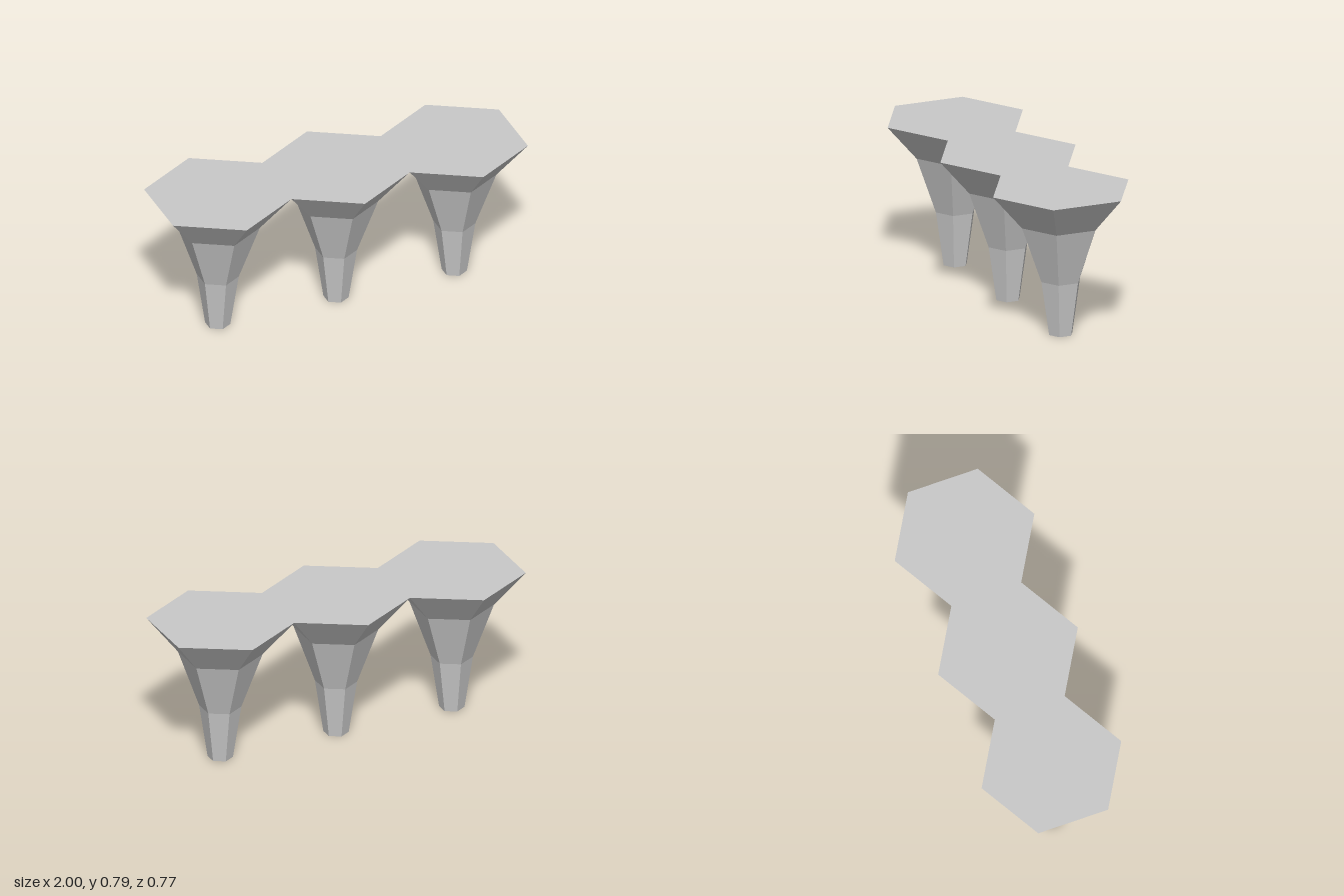
import * as THREE from 'three';

const stone = new THREE.MeshStandardMaterial({ color: 0xc8c8c8 });
stone.name = 'light grey stone';

const SPACING = 2 / 3;                 // columns meet edge to edge at the top
const TOP_RADIUS = SPACING / Math.sqrt(3);

// Flared six-sided column, closed at foot and top, with a corner facing +z
function columnGeometry() {
  const profile = [
    [0, 0], [0.066, 0], [0.11, 0.293], [0.22, 0.599], [TOP_RADIUS, 0.788], [0, 0.788],
  ].map(([r, y]) => new THREE.Vector2(r, y));
  const geometry = new THREE.LatheGeometry(profile, 6).toNonIndexed();
  geometry.computeVertexNormals();     // flat facets
  return geometry;
}

export function createModel() {
  const model = new THREE.Group();
  model.name = 'hexagonalColumnRow';
  const geometry = columnGeometry();

  // Row of three columns whose tops form one continuous deck
  ['rightColumn', 'middleColumn', 'leftColumn'].forEach((name, i) => {
    const column = new THREE.Mesh(geometry, stone);
    column.name = name;
    column.position.x = (i - 1) * SPACING;
    model.add(column);
  });
  return model;
}
